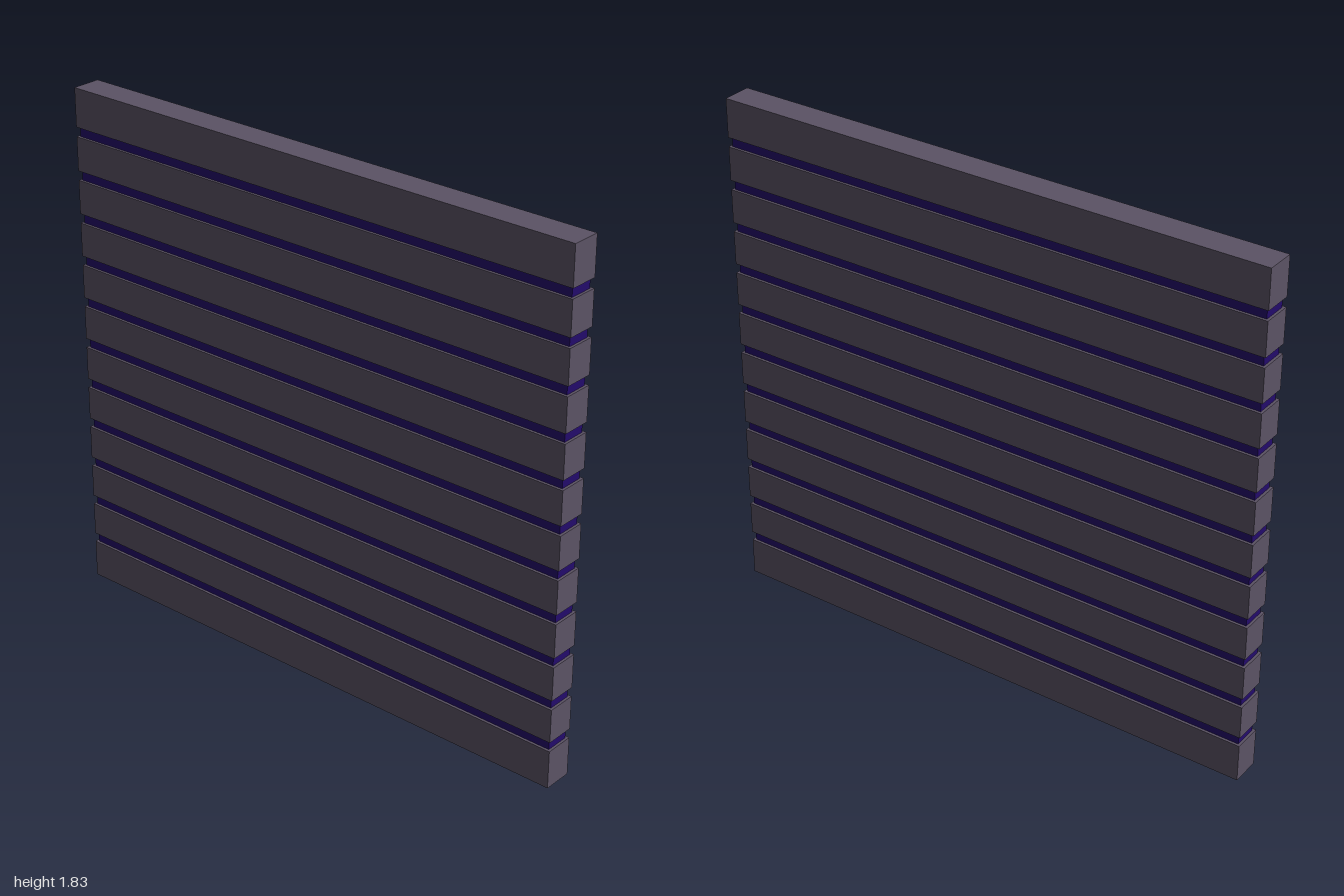
import * as THREE from 'three';

export function createModel() {
  const model = new THREE.Group();
  model.name = 'slattedPanel';

  const boardMaterial = new THREE.MeshStandardMaterial({ color: 0x5b5365 });
  boardMaterial.name = 'greyPurpleBoard';
  const coreMaterial = new THREE.MeshStandardMaterial({ color: 0x230a6b });
  coreMaterial.name = 'indigoCore';

  const count = 12, height = 1.83, pitch = height / count;
  const gap = 0.033, width = 0.104, length = 2;

  const addBox = (name, w, bottom, top, l, material) => {
    const mesh = new THREE.Mesh(new THREE.BoxGeometry(w, top - bottom, l), material);
    mesh.name = name;
    mesh.position.y = (bottom + top) / 2;
    model.add(mesh);
  };

  // Horizontal boards; the outer two run flush to the top and bottom
  for (let i = 0; i < count; i++) {
    const bottom = i === 0 ? 0 : i * pitch + gap / 2;
    const top = i === count - 1 ? height : (i + 1) * pitch - gap / 2;
    addBox(`board${i + 1}`, width, bottom, top, length, boardMaterial);
  }

  // Recessed core seen through the grooves
  addBox('core', 0.086, 0.02, height - 0.02, 1.982, coreMaterial);

  return model;
}
